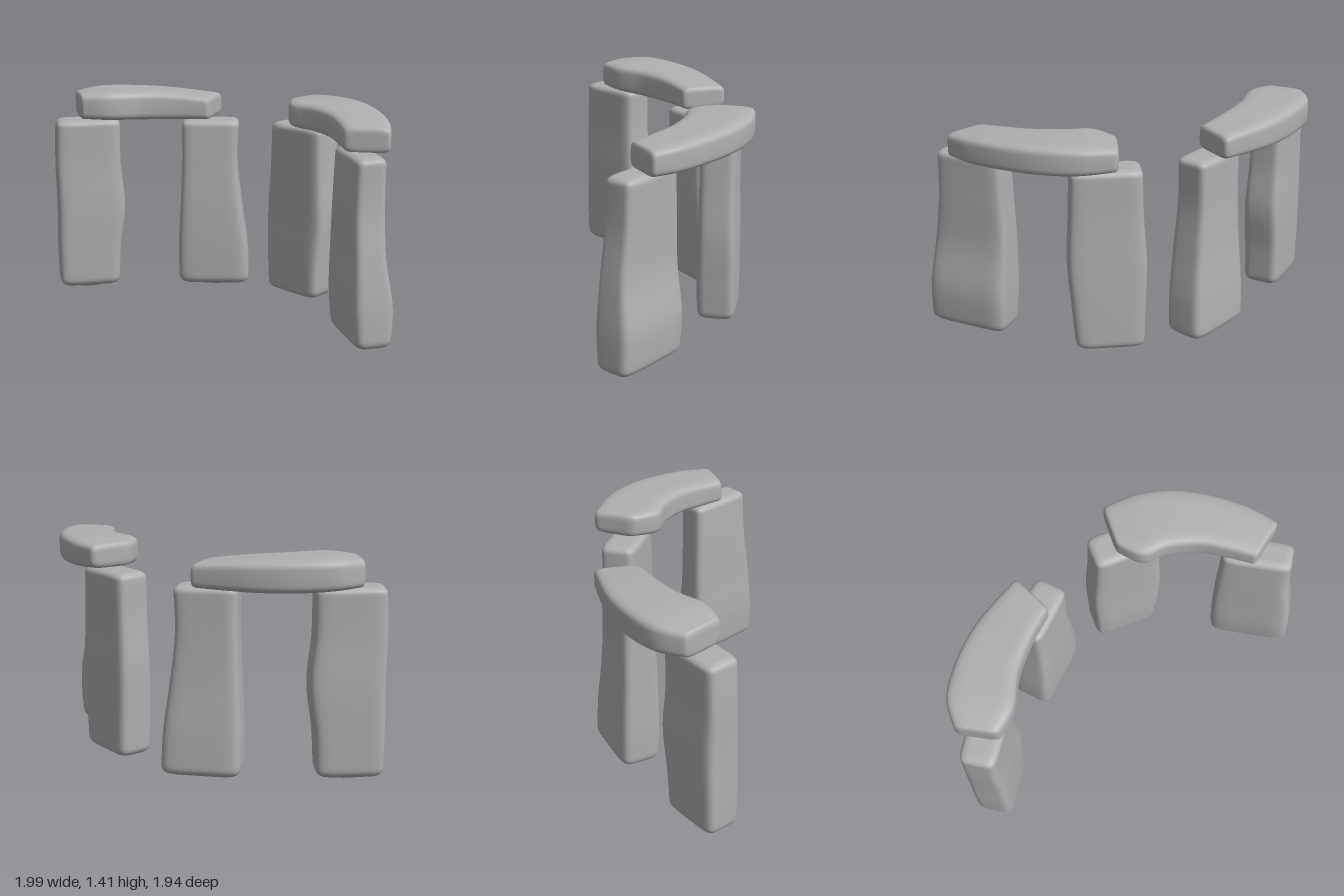
import * as THREE from 'three';

const AROUND = 48;
const STEPS = 56;

// Catmull-Rom interpolation of all columns of a row table at f in 0..1
function rowAt(rows, f) {
  const s = f * (rows.length - 1);
  const i = Math.min(Math.floor(s), rows.length - 2);
  const t = s - i;
  const at = (k) => rows[Math.max(0, Math.min(rows.length - 1, k))];
  return rows[i].map((p1, c) => {
    const p0 = at(i - 1)[c], p2 = at(i + 1)[c], p3 = at(i + 2)[c];
    return p1 + 0.5 * t * (p2 - p0 + t * (2 * p0 - 5 * p1 + 4 * p2 - p3 + t * (3 * (p1 - p2) + p3 - p0)));
  });
}

// Rounded stone swept through sections { c, u, v }: centre and two half-axis vectors
function stoneGeometry(section, { startRadius, endRadius, power, endBulge = 0 }) {
  const first = section(0).c, last = section(1).c;
  const length = first.distanceTo(last);
  const axis = last.clone().sub(first).normalize();
  const positions = [], index = [];

  const addRing = (f, scale, push) => {
    const { c, u, v } = section(f);
    const shrink = (r, d) => (d < r ? r - Math.sqrt(Math.max(0, r * r - (r - d) ** 2)) : 0);
    const inset = Math.max(shrink(startRadius, f * length), shrink(endRadius, (1 - f) * length));
    const ku = scale * (1 - inset / u.length()), kv = scale * (1 - inset / v.length());
    for (let j = 0; j < AROUND; j++) {
      const a = (j / AROUND) * Math.PI * 2;
      const bend = (n) => Math.sign(n) * Math.pow(Math.abs(n), 2 / power);
      const p = c.clone()
        .addScaledVector(u, bend(Math.cos(a)) * ku)
        .addScaledVector(v, bend(Math.sin(a)) * kv)
        .addScaledVector(axis, push);
      positions.push(p.x, p.y, p.z);
    }
  };

  const capScales = [0.001, 0.3, 0.6, 0.85];
  capScales.forEach((s) => addRing(0, s, 0));
  // cosine spacing packs rings into the rounded ends
  for (let i = 0; i <= STEPS; i++) addRing(0.5 - 0.5 * Math.cos((i / STEPS) * Math.PI), 1, 0);
  capScales.slice().reverse().forEach((s) => addRing(1, s, endBulge * (1 - s * s)));

  const rings = positions.length / 3 / AROUND;
  for (let i = 0; i < rings - 1; i++) {
    for (let j = 0; j < AROUND; j++) {
      const k = (j + 1) % AROUND;
      const a = i * AROUND + j, b = i * AROUND + k;
      index.push(a, b, b + AROUND, a, b + AROUND, a + AROUND);
    }
  }
  const g = new THREE.BufferGeometry();
  g.setAttribute('position', new THREE.Float32BufferAttribute(positions, 3));
  g.setIndex(index);
  g.computeVertexNormals();
  return g;
}

// Standing stone, rows from top to bottom: [y, centre x, centre z, width, depth]
function uprightGeometry(degrees, rows) {
  const a = THREE.MathUtils.degToRad(degrees);
  const section = (f) => {
    const [y, x, z, w, d] = rowAt(rows, f);
    return {
      c: new THREE.Vector3(x, y, z),
      u: new THREE.Vector3(Math.cos(a), 0, Math.sin(a)).multiplyScalar(w / 2),
      v: new THREE.Vector3(-Math.sin(a), 0, Math.cos(a)).multiplyScalar(d / 2),
    };
  };
  return stoneGeometry(section, { startRadius: 0.055, endRadius: 0.09, power: 6, endBulge: 0.025 });
}

// Curved capstone, rows end to end: [outer x, outer z, inner x, inner z, bottom y, top y]
function lintelGeometry(rows) {
  const section = (f) => {
    const [ox, oz, ix, iz, lo, hi] = rowAt(rows, f);
    return {
      c: new THREE.Vector3((ox + ix) / 2, (lo + hi) / 2, (oz + iz) / 2),
      u: new THREE.Vector3((ox - ix) / 2, 0, (oz - iz) / 2),
      v: new THREE.Vector3(0, (hi - lo) / 2, 0),
    };
  };
  return stoneGeometry(section, { startRadius: 0.04, endRadius: 0.035, power: 5 });
}

export function createModel() {
  const group = new THREE.Group();
  const stone = new THREE.MeshStandardMaterial({ color: 0xb0b0b0 });
  stone.name = 'stone grey';

  const add = (name, geometry) => {
    const mesh = new THREE.Mesh(geometry, stone);
    mesh.name = name;
    group.add(mesh);
  };

  // Four standing stones set along an arc
  add('backOuterUpright', uprightGeometry(0, [
    [1.2, -0.76, -0.71, 0.43, 0.23],
    [0.9, -0.765, -0.71, 0.44, 0.23],
    [0.6, -0.75, -0.71, 0.46, 0.25],
    [0.3, -0.77, -0.71, 0.43, 0.25],
    [0.025, -0.775, -0.71, 0.41, 0.24],
  ]));
  add('backInnerUpright', uprightGeometry(13, [
    [1.19, 0.075, -0.6, 0.39, 0.22],
    [0.9, 0.07, -0.6, 0.38, 0.23],
    [0.6, 0.08, -0.6, 0.425, 0.25],
    [0.3, 0.095, -0.61, 0.48, 0.27],
    [0.02, 0.105, -0.62, 0.49, 0.27],
  ]));
  add('sideInnerUpright', uprightGeometry(56, [
    [1.215, 0.63, -0.185, 0.43, 0.23],
    [0.9, 0.63, -0.185, 0.45, 0.23],
    [0.6, 0.63, -0.19, 0.48, 0.24],
    [0.3, 0.625, -0.195, 0.45, 0.25],
    [0.04, 0.625, -0.205, 0.42, 0.24],
  ]));
  add('sideOuterUpright', uprightGeometry(87, [
    [1.205, 0.755, 0.66, 0.44, 0.2],
    [0.9, 0.75, 0.66, 0.46, 0.21],
    [0.6, 0.75, 0.675, 0.51, 0.22],
    [0.3, 0.77, 0.69, 0.54, 0.27],
    [0.035, 0.775, 0.7, 0.53, 0.24],
  ]));

  // Two curved capstones
  add('backLintel', lintelGeometry([
    [-0.83, -0.86, -0.81, -0.6, 1.21, 1.375],
    [-0.65, -0.96, -0.63, -0.55, 1.2, 1.395],
    [-0.4, -0.965, -0.4, -0.58, 1.19, 1.39],
    [-0.13, -0.905, -0.17, -0.56, 1.19, 1.375],
    [0.19, -0.76, 0.04, -0.51, 1.195, 1.345],
  ]));
  add('sideLintel', lintelGeometry([
    [0.76, -0.35, 0.53, -0.21, 1.24, 1.385],
    [0.9, -0.16, 0.49, -0.03, 1.22, 1.4],
    [0.98, 0.06, 0.58, 0.11, 1.215, 1.4],
    [1.0, 0.3, 0.645, 0.3, 1.21, 1.39],
    [0.975, 0.55, 0.655, 0.48, 1.2, 1.375],
    [0.915, 0.745, 0.65, 0.655, 1.2, 1.355],
  ]));

  return group;
}
